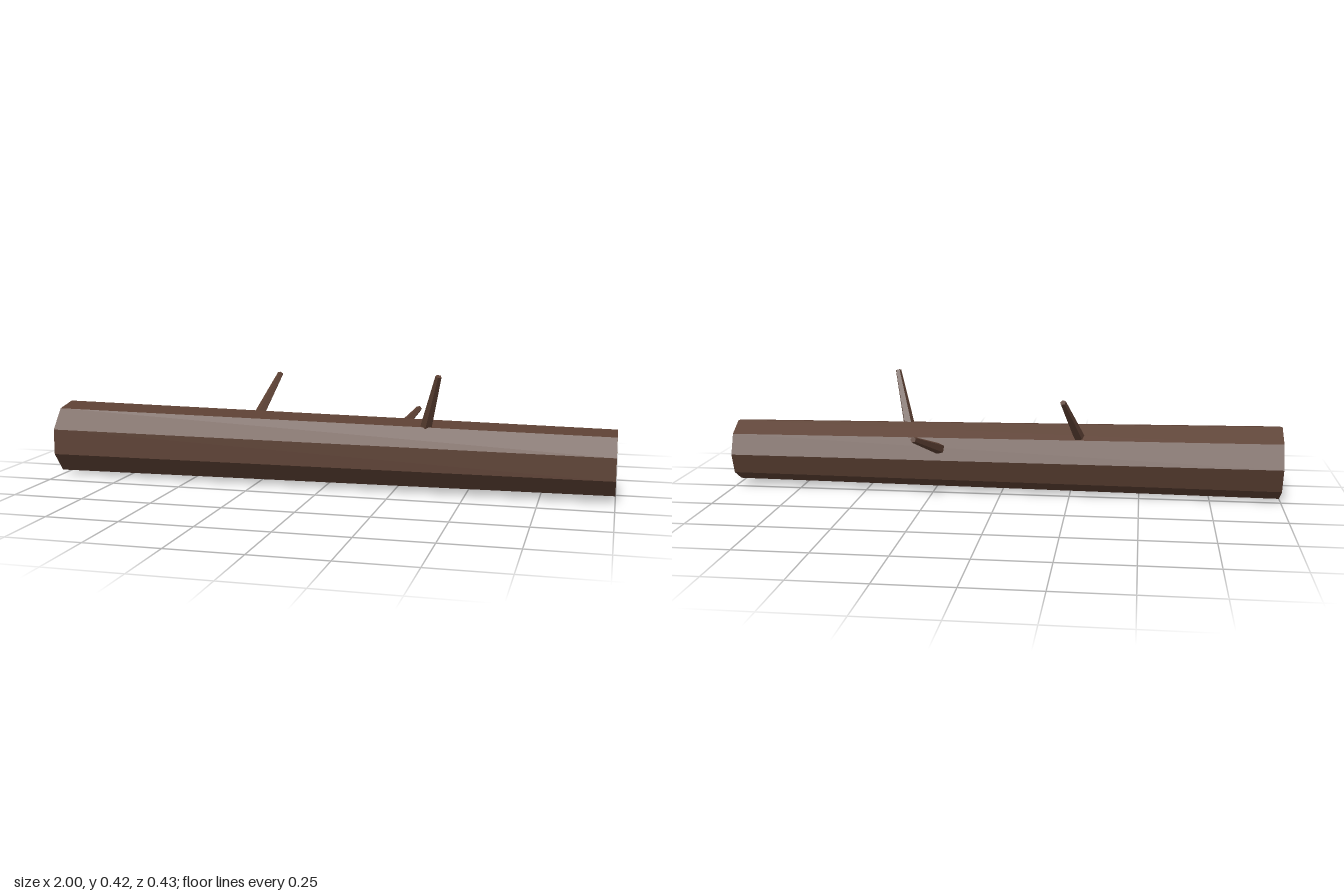
import * as THREE from 'three';

export function createModel() {
  const model = new THREE.Group();
  const bark = new THREE.MeshStandardMaterial({ name: 'bark', color: 0x5c4033, flatShading: true });
  const cutWood = new THREE.MeshStandardMaterial({ name: 'cutWood', color: 0xb8996a, flatShading: true });

  // Nine-sided tapered trunk lying along x, with pale sawn ends
  const trunkGeo = new THREE.CylinderGeometry(0.114, 0.1335, 2, 9, 1, false, Math.PI);
  trunkGeo.rotateZ(-Math.PI / 2);
  const pos = trunkGeo.attributes.position;
  for (let i = 0; i < pos.count; i++) {
    pos.setY(i, pos.getY(i) + 0.1292 - 0.0023 * pos.getX(i)); // slight sag of the axis
  }
  trunkGeo.translate(0, 0, 0.081);
  const trunk = new THREE.Mesh(trunkGeo, [bark, cutWood, cutWood]);
  trunk.name = 'trunk';
  model.add(trunk);

  // Broken branch stubs, tapered from base to tip
  const up = new THREE.Vector3(0, 1, 0);
  const addBranch = (name, base, tip) => {
    const a = new THREE.Vector3(...base);
    const b = new THREE.Vector3(...tip);
    const dir = b.clone().sub(a);
    const branch = new THREE.Mesh(new THREE.CylinderGeometry(0.011, 0.021, dir.length(), 5), bark);
    branch.name = name;
    branch.position.copy(a).add(b).multiplyScalar(0.5);
    branch.quaternion.setFromUnitVectors(up, dir.normalize());
    model.add(branch);
  };
  addBranch('frontBranch', [0.36, 0.224, 0.122], [0.415, 0.417, 0.205]);
  addBranch('topBranch', [-0.285, 0.21, 0.012], [-0.232, 0.368, -0.124]);
  addBranch('backBranch', [0.22, 0.17, -0.025], [0.279, 0.242, -0.209]);

  return model;
}
